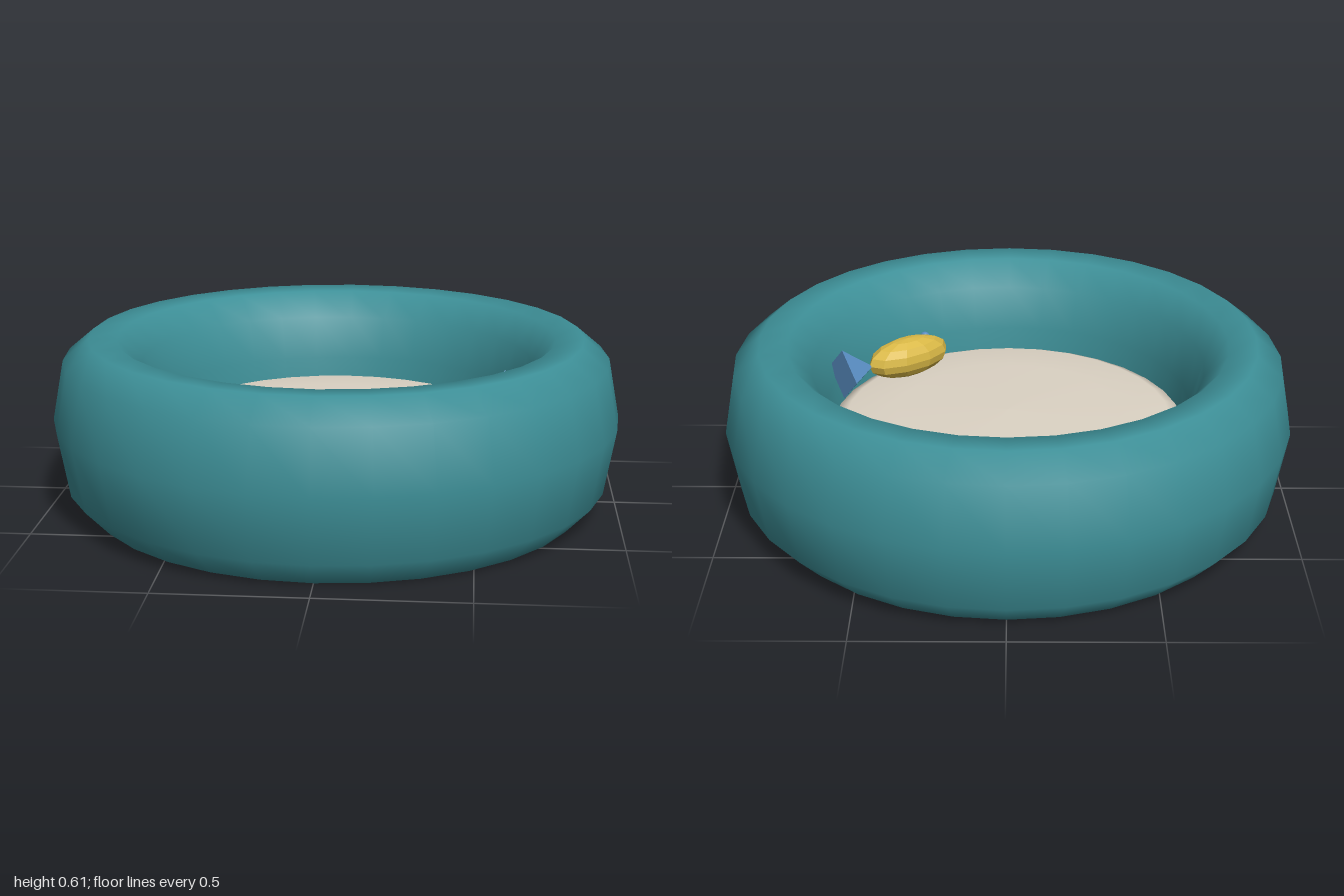
import * as THREE from 'three';

const teal = new THREE.MeshStandardMaterial({ color: 0x3d8f97 });
teal.name = 'teal fabric';
const cream = new THREE.MeshStandardMaterial({ color: 0xdcd3c4 });
cream.name = 'cream cushion';
const yellow = new THREE.MeshStandardMaterial({ color: 0xd9b846, flatShading: true });
yellow.name = 'yellow toy';
const blue = new THREE.MeshStandardMaterial({ color: 0x5a8fc4, flatShading: true });
blue.name = 'blue toy';

function part(name, geometry, material) {
  const mesh = new THREE.Mesh(geometry, material);
  mesh.name = name;
  return mesh;
}

function lathe(points) {
  return new THREE.LatheGeometry(points.map(([r, y]) => new THREE.Vector2(r, y)), 32);
}

export function createModel() {
  const model = new THREE.Group();
  model.name = 'petBed';

  // Padded ring with closed underside, from bottom centre over the rim to the inner wall
  model.add(part('bolster', lathe([
    [0, 0], [0.74, 0], [0.875, 0], [0.96, 0.09], [1, 0.32], [0.96, 0.53],
    [0.87, 0.605], [0.77, 0.6], [0.69, 0.51], [0.645, 0.36], [0.63, 0.2],
  ]), teal));

  // Gently domed sleeping cushion
  model.add(part('cushion', lathe([
    [0.64, 0.22], [0.625, 0.28], [0.58, 0.3], [0.4, 0.312], [0, 0.32],
  ]), cream));

  // Toy fish, its tail along local +x
  const fish = new THREE.Group();
  fish.name = 'toyFish';
  fish.position.set(0.37, 0.41, 0.26);
  fish.rotation.y = 0.63;

  const body = part('fishBody', new THREE.SphereGeometry(1, 10, 8), yellow);
  body.scale.set(0.168, 0.073, 0.075);
  fish.add(body);

  // Four-sided tail with its tip touching the body
  const tail = part('fishTail', new THREE.ConeGeometry(0.095, 0.125, 4), blue);
  tail.rotation.z = Math.PI / 2;
  tail.position.x = 0.217;
  fish.add(tail);

  const eye = part('fishEye', new THREE.SphereGeometry(0.02, 8, 6), blue);
  eye.position.set(-0.115, 0.025, 0.063);
  fish.add(eye);

  model.add(fish);
  return model;
}
